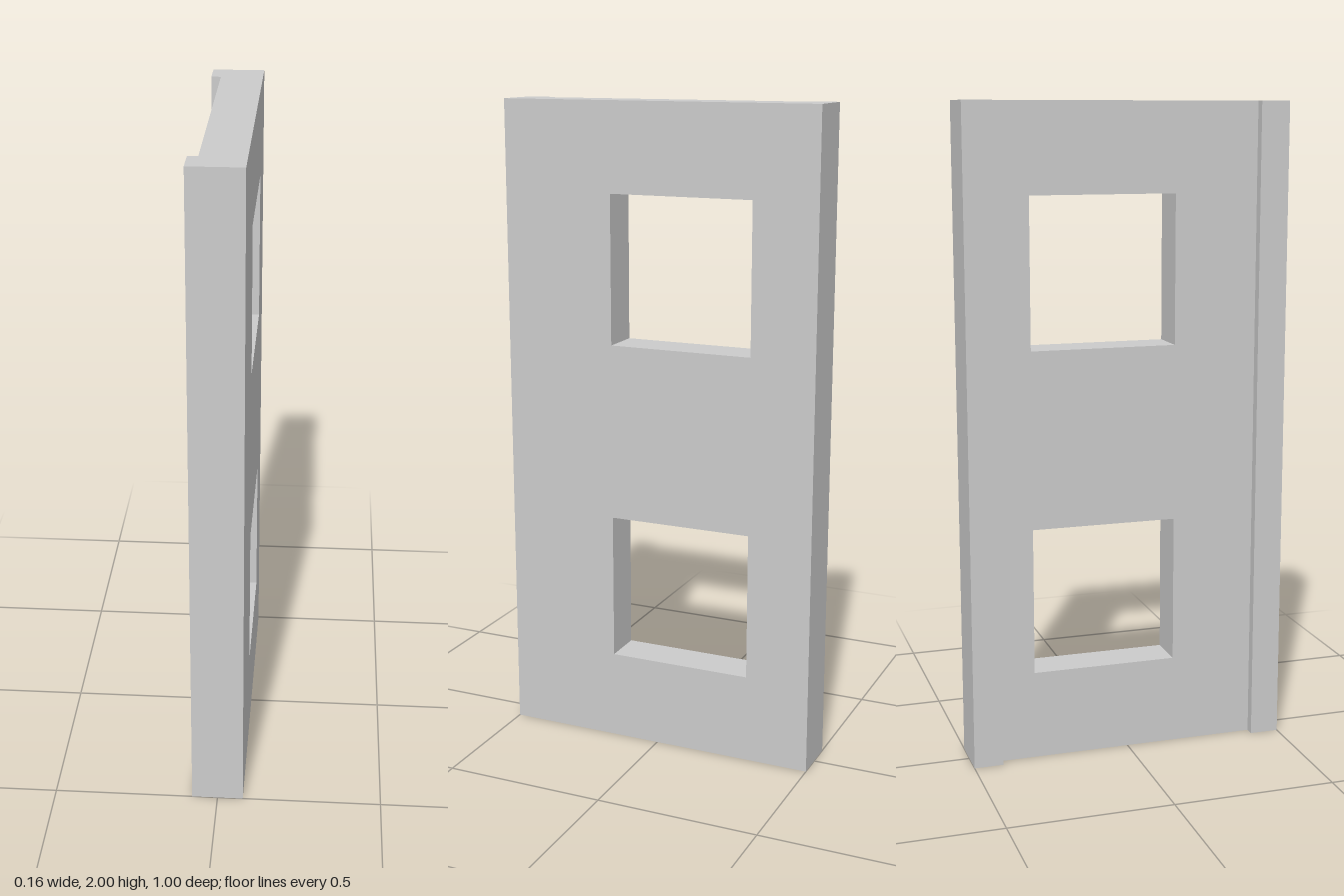
import * as THREE from 'three';

const material = new THREE.MeshStandardMaterial({ color: 0xcccccc });
const HEIGHT = 2, HALF_WIDTH = 0.5;
const OUTER_X = 0.078, RECESS_X = -0.049; // faces of the panel
const RIB_WIDTH = 0.09;

function rectangle(path, u0, v0, u1, v1) {
  path.moveTo(u0, v0);
  path.lineTo(u1, v0);
  path.lineTo(u1, v1);
  path.lineTo(u0, v1);
  path.closePath();
  return path;
}

export function createModel() {
  const model = new THREE.Group();
  model.name = 'wallPanel';

  // Panel with two window openings, drawn with u = -z and extruded along x
  const outline = rectangle(new THREE.Shape(), -HALF_WIDTH, 0, HALF_WIDTH, HEIGHT);
  for (const sill of [0.275, 1.275]) {
    outline.holes.push(rectangle(new THREE.Path(), -0.15, sill, 0.3, sill + 0.455));
  }
  const panelGeometry = new THREE.ExtrudeGeometry(outline, {
    depth: OUTER_X - RECESS_X,
    bevelEnabled: false,
  });
  panelGeometry.rotateY(Math.PI / 2).translate(RECESS_X, 0, 0);
  const panel = new THREE.Mesh(panelGeometry, material);
  panel.name = 'panel';
  model.add(panel);

  // Full-height ribs along both edges of the inner face
  const ribDepth = RECESS_X + OUTER_X;
  for (const [name, side] of [['frontRib', 1], ['backRib', -1]]) {
    const rib = new THREE.Mesh(new THREE.BoxGeometry(ribDepth, HEIGHT, RIB_WIDTH), material);
    rib.name = name;
    rib.position.set(-OUTER_X + ribDepth / 2, HEIGHT / 2, side * (HALF_WIDTH - RIB_WIDTH / 2));
    model.add(rib);
  }

  return model;
}
